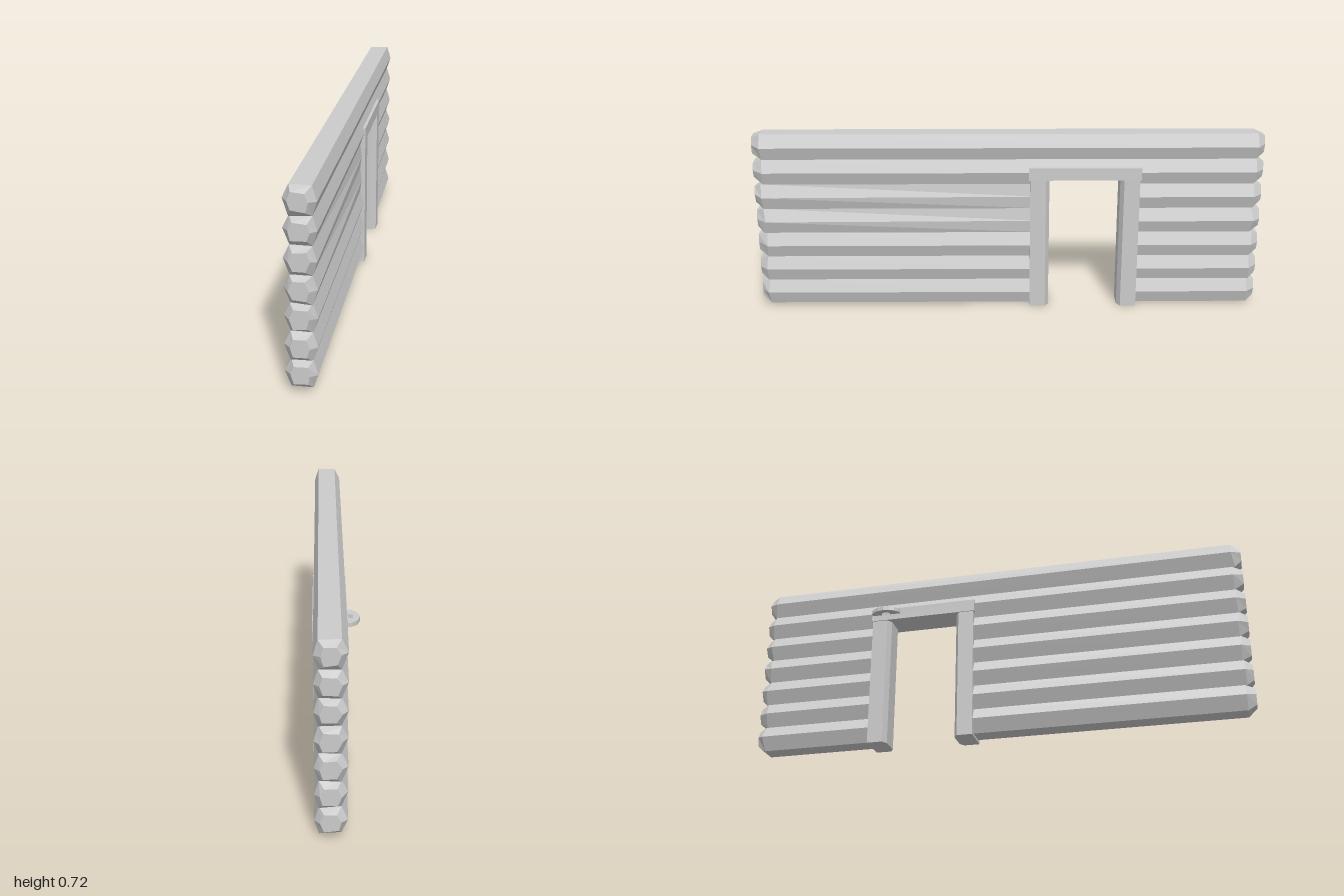
import * as THREE from 'three';

const material = new THREE.MeshStandardMaterial({ color: 0xcccccc, flatShading: true });

// Six-sided log section, anticlockwise in x/y, relative to the log's underside
const SECTION = [[-0.013, 0], [0.062, 0], [0.078, 0.05], [0.062, 0.102], [-0.013, 0.102], [-0.035, 0.056]];
const LOG_STEP = 0.101, BASE = 0.01;

let seed = 7;
const jitter = (amount) => {
  seed = (seed * 16807) % 2147483647;
  return (seed / 2147483647 - 0.5) * 2 * amount;
};

// Skin rings of [x, y, z] points that run toward +z, and cap both ends
function loft(rings) {
  const pos = [];
  const tri = (a, b, c) => pos.push(...a, ...b, ...c);
  const n = rings[0].length;
  for (let r = 0; r < rings.length - 1; r++) {
    for (let i = 0; i < n; i++) {
      const j = (i + 1) % n;
      tri(rings[r][i], rings[r][j], rings[r + 1][j]);
      tri(rings[r][i], rings[r + 1][j], rings[r + 1][i]);
    }
  }
  const first = rings[0], last = rings[rings.length - 1];
  for (let i = 1; i < n - 1; i++) {
    tri(first[0], first[i + 1], first[i]);
    tri(last[0], last[i], last[i + 1]);
  }
  const g = new THREE.BufferGeometry();
  g.setAttribute('position', new THREE.Float32BufferAttribute(pos, 3));
  g.computeVertexNormals();
  return g;
}

const ring = (y, z, cut = 0) => SECTION.map(([x, h]) => [x, y + Math.max(h, cut), z]);

// Roughly hewn log end: a smaller section pushed outward
function hewnEnd(y, side) {
  const tip = SECTION.map(([x, h]) => [
    0.022 + (x - 0.022) * 0.62 + jitter(0.004),
    y + 0.057 + (h - 0.051) * 0.62 + jitter(0.004),
    side * 0.997]);
  const shoulder = ring(y, side * 0.965).map(([x, yy, z]) => [x, yy, z + jitter(0.006)]);
  return side > 0 ? [shoulder, tip] : [tip, shoulder];
}

function addMesh(parent, geometry, name) {
  const mesh = new THREE.Mesh(geometry, material);
  mesh.name = name;
  parent.add(mesh);
  return mesh;
}

// Extrude a floor-plan outline of [x, z] points upward
function planExtrude(points, height, hole) {
  const toVec = ([x, z]) => new THREE.Vector2(x, -z);
  const shape = new THREE.Shape(points.map(toVec));
  if (hole) shape.holes.push(new THREE.Path(hole.map(toVec)));
  return new THREE.ExtrudeGeometry(shape, { depth: height, bevelEnabled: false }).rotateX(-Math.PI / 2);
}

export function createModel() {
  const model = new THREE.Group();
  model.name = 'logWallWithDoorway';

  // Stacked logs, with the lower five interrupted by the doorway
  const logs = new THREE.Group();
  logs.name = 'logs';
  model.add(logs);
  for (let i = 0; i < 7; i++) {
    const y = BASE + i * LOG_STEP;
    const back = hewnEnd(y, -1), front = hewnEnd(y, 1);
    if (i === 6) {
      addMesh(logs, loft([...back, ...front]), 'topLog');
      continue;
    }
    const jamb = ring(y, -0.12);
    if (i === 3 || i === 4) jamb[2][0] = 0.068; // worn flatter beside the door
    addMesh(logs, loft([...back, ring(y, -0.48)]), 'backLog');
    addMesh(logs, loft([jamb, ...front]), 'frontLog');
    if (i === 5) addMesh(logs, loft([ring(y, -0.48, 0.03), ring(y, -0.12, 0.03)]), 'logOverDoor');
  }

  // Door frame: two mirrored posts with chamfered inner edges, and a lintel
  const frame = new THREE.Group();
  frame.name = 'doorFrame';
  model.add(frame);
  const doorZ = -0.3;
  for (const side of [1, -1]) {
    const outline = [[-0.038, 0.215], [0.082, 0.215], [0.082, 0.153], [0.06, 0.139], [-0.016, 0.139], [-0.038, 0.153]]
      .map(([x, z]) => [x, doorZ + side * z]);
    addMesh(frame, planExtrude(outline, 0.54), 'doorPost');
  }
  const lintel = addMesh(frame, new THREE.BoxGeometry(0.125, 0.05, 0.44), 'lintel');
  lintel.position.set(0.0205, 0.56, doorZ);

  // Small horseshoe bracket on the lintel
  const bracketZ = -0.457;
  const arc = [];
  for (let i = 0; i <= 8; i++) {
    const a = (i / 8) * Math.PI;
    arc.push([-0.038 - 0.048 * Math.sin(a), bracketZ + 0.062 * Math.cos(a)]);
  }
  const slot = [[-0.062, -0.014], [-0.062, 0.014], [-0.043, 0.018], [-0.043, -0.018]]
    .map(([x, z]) => [x, bracketZ + z]);
  const bracket = addMesh(model, planExtrude(arc, 0.016, slot), 'bracket');
  bracket.position.y = 0.559;

  return model;
}
